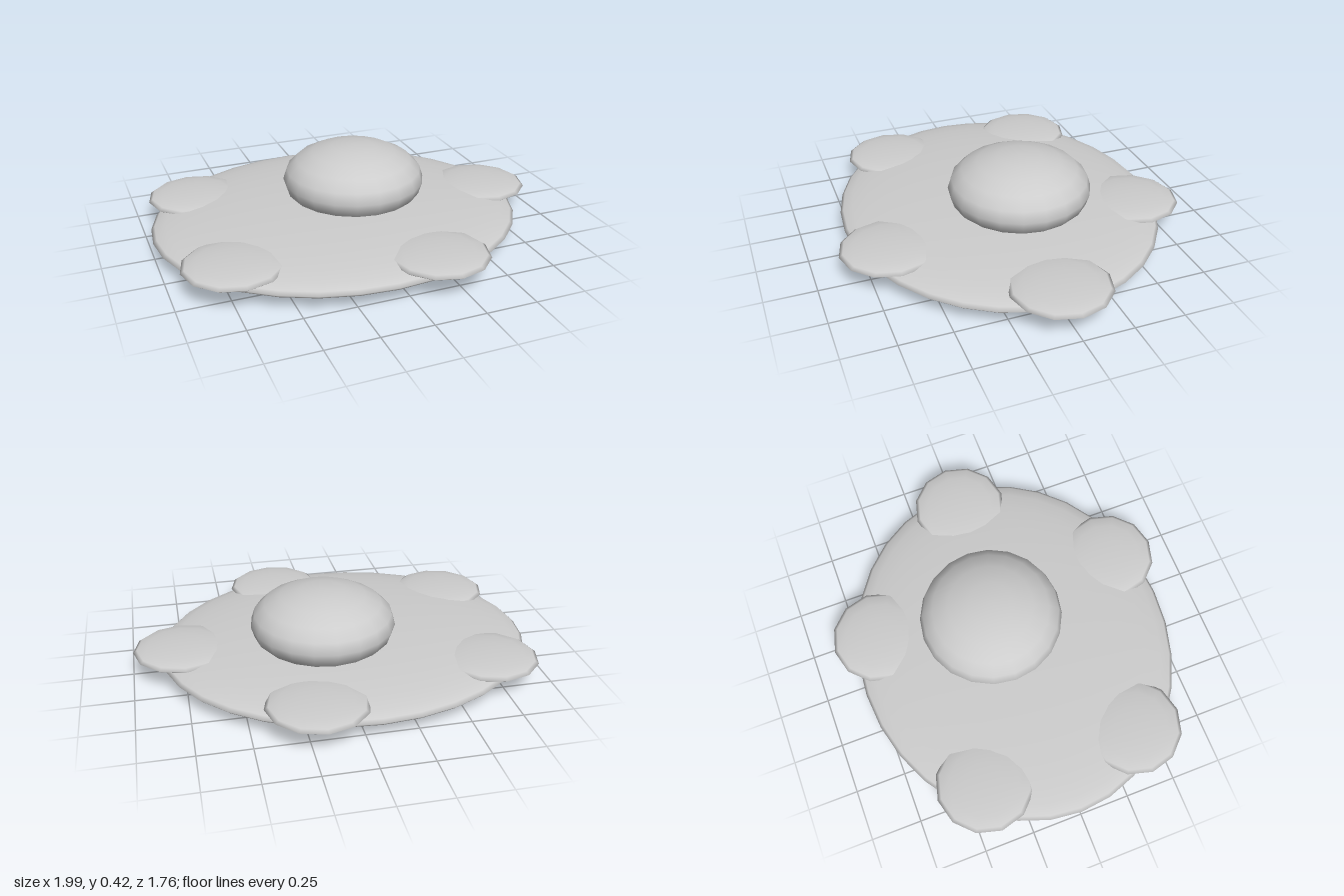
import * as THREE from 'three';

export function createModel() {
  const model = new THREE.Group();
  const grey = new THREE.MeshStandardMaterial({ color: 0xcccccc });
  grey.name = 'hull grey';

  // Squashed smooth sphere: radii and centre as [x, y, z]
  function ellipsoid(name, radii, centre, segments, rings) {
    const geometry = new THREE.SphereGeometry(1, segments, rings);
    geometry.scale(...radii);
    const mesh = new THREE.Mesh(geometry, grey);
    mesh.name = name;
    mesh.position.set(...centre);
    model.add(mesh);
  }

  // Wide lens-shaped hull
  ellipsoid('hull', [0.93, 0.083, 0.8], [-0.07, 0.083, 0], 32, 16);

  // Cabin dome, set slightly off the hull's centre
  ellipsoid('dome', [0.36, 0.18, 0.36], [0.055, 0.235, -0.075], 20, 10);

  // Five flat pods spaced evenly around the rim
  for (let i = 0; i < 5; i++) {
    const angle = (i / 5) * Math.PI * 2;
    const x = -0.055 + 0.805 * Math.cos(angle);
    const z = 0.67 * Math.sin(angle);
    ellipsoid('rimPod' + (i + 1), [0.243, 0.034, 0.243], [x, 0.119, z], 12, 8);
  }

  return model;
}
